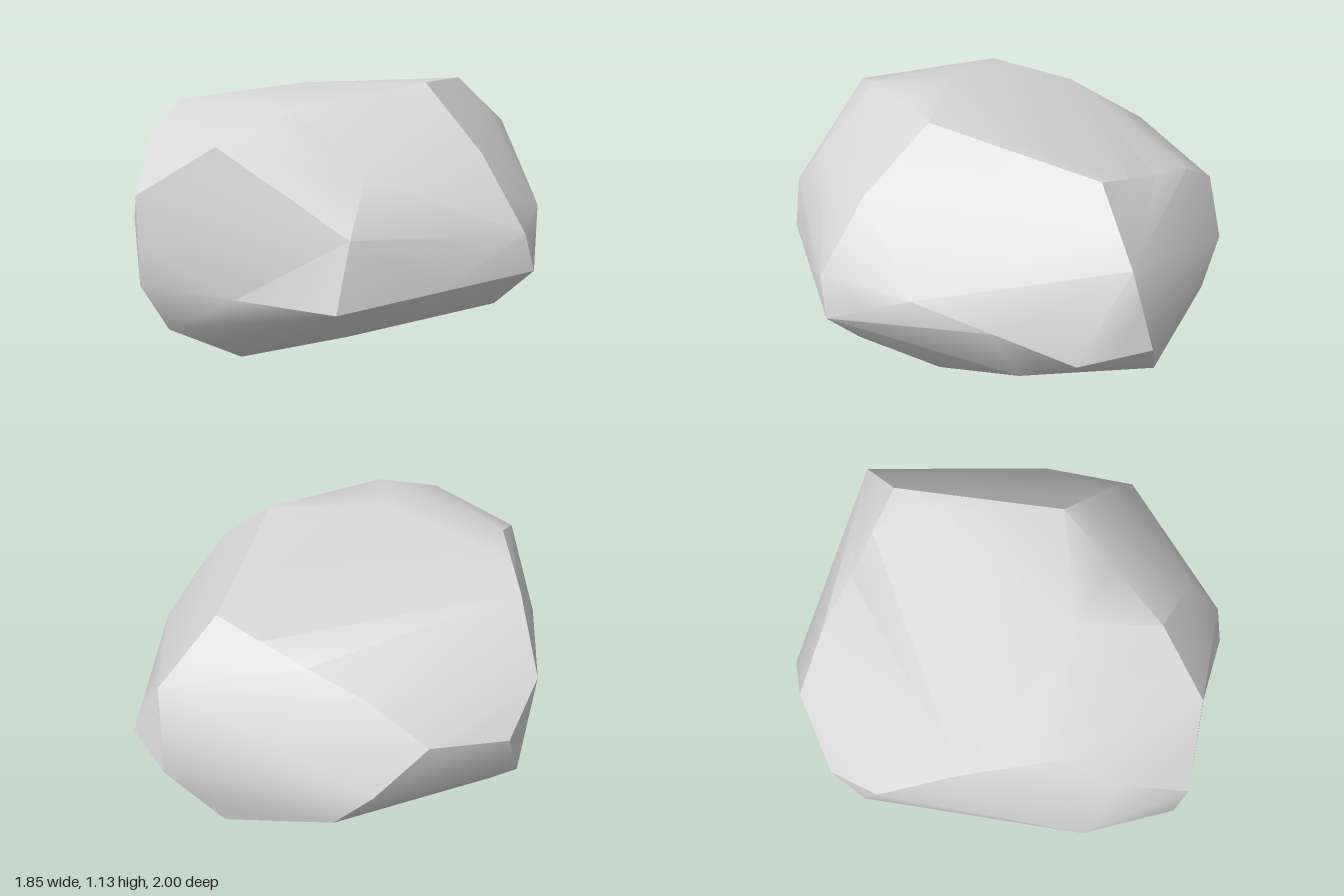
import * as THREE from 'three';
import { ConvexGeometry } from 'three/addons/geometries/ConvexGeometry.js';
import { toCreasedNormals } from 'three/addons/utils/BufferGeometryUtils.js';

// corners where several ridges meet
const nose = [0.04, 0.79, 1.0];
const chin = [0.03, 0.43, 1.0];
const peak = [0.4, 1.13, -0.1];
const backTop = [0, 1.02, -0.68];
const backLow = [-0.03, 0.46, -1.0];
const backHeel = [-0.18, 0.22, -0.84];
const rightTip = [0.92, 0.47, -0.2];
const cutBack = [0.27, 0.46, -0.94];
const cutLow = [0.35, 0.285, -0.68];
const leftTop = [-0.86, 0.77, 0.18];
const leftTip = [-0.93, 0.63, -0.05];
const leftBack = [-0.82, 0.7, -0.37];

// ridge lines of the boulder
const ridges = {
  front: [nose, chin, [0.015, 0.21, 0.88], [0.03, 0, 0.56]],
  topRight: [nose, [0.28, 0.99, 0.8], [0.35, 1.09, 0.5], peak],
  topBack: [peak, [0.2, 1.09, -0.31], [0.05, 1.04, -0.51], backTop],
  topLeft: [nose, [-0.18, 0.95, 0.81], [-0.3, 1.04, 0.6], [-0.59, 0.95, 0.38], leftTop, leftTip],
  backLeft: [backTop, [-0.36, 0.9, -0.55], [-0.59, 0.84, -0.47], leftBack, leftTip],
  right: [peak, [0.7, 0.9, -0.12], [0.91, 0.63, -0.15], rightTip],
  belt: [chin, [0.73, 0.44, 0.61], rightTip],
  cut: [rightTip, [0.69, 0.62, -0.47], cutBack, cutLow, [0.51, 0.165, -0.33], [0.77, 0.3, -0.15], rightTip],
  back: [backTop, [0.04, 0.79, -0.94], backLow, backHeel],
  heel: [cutBack, backLow],
  heelLow: [cutLow, backHeel],
  leftEnd: [leftTip, [-0.89, 0.4, 0.07], [-0.77, 0.28, 0.07], [-0.59, 0.35, -0.63], [-0.73, 0.52, -0.56], leftBack],
  leftFoot: [backHeel, [-0.59, 0.35, -0.63]],
};

// single corners on the rounded areas between ridges
const bumps = [
  [-0.34, 0.57, 0.82], [0.72, 0.7, 0.54], [0.64, 0.88, 0.41], [0.1, 1.13, 0.28],
  [-0.33, 0.14, 0.16], [-0.1, 0.03, 0.2], [-0.05, 0.06, -0.12], [0.37, 0.13, 0.27],
  [-0.19, 0.16, -0.67], [-0.04, 0.16, -0.36], [0.07, 0.2, -0.5],
];

// ridge corners, with a midpoint on each long stretch
function ridgePoints(line) {
  const pts = line.map((p) => new THREE.Vector3(...p));
  return pts.flatMap((p, i) => {
    const next = pts[i + 1];
    return next && p.distanceTo(next) > 0.3 ? [p, p.clone().lerp(next, 0.5)] : [p];
  });
}

// moves a point part of the way out to an ellipsoid around the boulder
function inflate(p) {
  const centre = new THREE.Vector3(0, 0.56, 0);
  const radii = new THREE.Vector3(0.95, 0.57, 0.97);
  const onEllipsoid = p.clone().sub(centre).divide(radii).normalize().multiply(radii).add(centre);
  return p.clone().lerp(onEllipsoid, 0.4);
}

// skins the inflated points, then lets each corner sink back, so hollows survive
function skin(points) {
  const inflated = points.map(inflate);
  const geometry = new ConvexGeometry(inflated);
  const position = geometry.attributes.position;
  const v = new THREE.Vector3();
  for (let i = 0; i < position.count; i++) {
    v.fromBufferAttribute(position, i);
    let nearest = 0;
    inflated.forEach((q, j) => {
      if (q.distanceToSquared(v) < inflated[nearest].distanceToSquared(v)) nearest = j;
    });
    position.setXYZ(i, ...points[nearest].toArray());
  }
  return toCreasedNormals(geometry, 0.6);
}

export function createModel() {
  const stone = new THREE.MeshStandardMaterial({ color: 0xd9d9d9 });
  stone.name = 'light grey stone';

  const points = [
    ...Object.values(ridges).flatMap(ridgePoints),
    ...bumps.map((p) => new THREE.Vector3(...p)),
  ];
  const boulder = new THREE.Mesh(skin(points), stone);
  boulder.name = 'boulder';

  const group = new THREE.Group();
  group.name = 'rock';
  group.add(boulder);
  return group;
}
